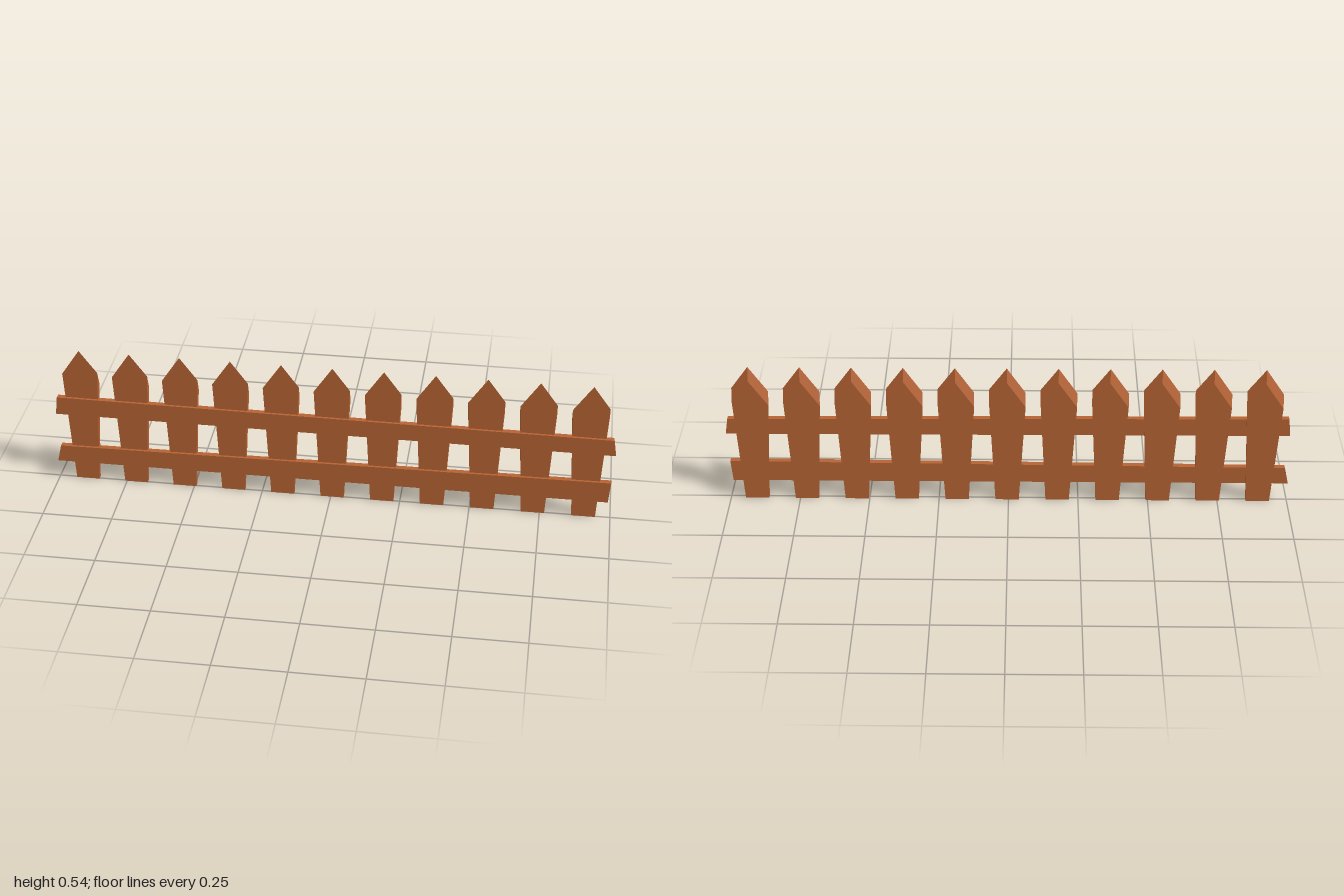
import * as THREE from 'three';

const wood = new THREE.MeshStandardMaterial({ color: 0xb86434, flatShading: true });

// Flat board cut from an outline, spanning zBack to zFront
function board(points, zBack, zFront) {
  const shape = new THREE.Shape(points.map(([x, y]) => new THREE.Vector2(x, y)));
  const geometry = new THREE.ExtrudeGeometry(shape, { depth: zFront - zBack, bevelEnabled: false });
  return geometry.translate(0, 0, zBack);
}

// Tapered picket whose pointed top slopes down towards the back
function picketGeometry() {
  const outline = [[-0.042, 0], [0.042, 0], [0.063, 0.45], [0.001, 0.535], [-0.065, 0.437]];
  const geometry = board(outline, -0.013, 0.004);
  const p = geometry.attributes.position;
  for (let i = 0; i < p.count; i++) {
    if (p.getZ(i) < 0 && p.getY(i) > 0.4) p.setY(i, p.getY(i) - 0.048);
  }
  geometry.computeVertexNormals();
  return geometry;
}

export function createModel() {
  const fence = new THREE.Group();
  fence.name = 'picketFence';

  // Row of eleven pickets
  const picket = picketGeometry();
  for (let i = 0; i < 11; i++) {
    const mesh = new THREE.Mesh(picket, wood);
    mesh.name = `picket${i + 1}`;
    mesh.position.x = -0.895 + i * 0.18;
    fence.add(mesh);
  }

  // Two roughly cut rails across the front
  const rails = {
    upperRail: [[-0.993, 0.273], [1, 0.268], [0.99, 0.33], [-0.985, 0.342]],
    lowerRail: [[-1, 0.073], [0.987, 0.072], [0.993, 0.153], [-0.985, 0.138]],
  };
  for (const [name, outline] of Object.entries(rails)) {
    const mesh = new THREE.Mesh(board(outline, -0.007, 0.013), wood);
    mesh.name = name;
    fence.add(mesh);
  }
  return fence;
}
